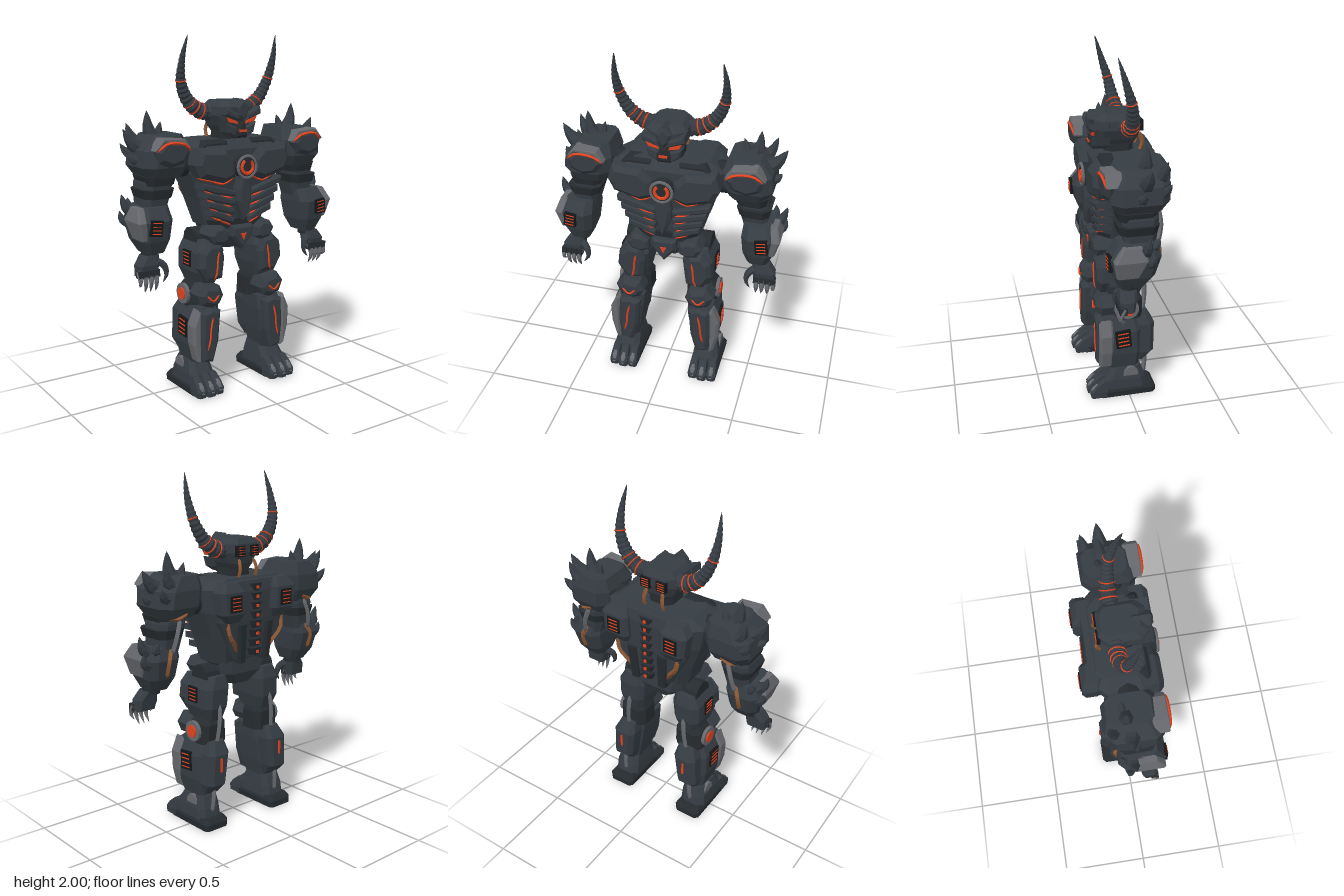
import * as THREE from 'three';

const mat = (name, color) => {
  const m = new THREE.MeshStandardMaterial({ color });
  m.name = name;
  return m;
};
const V = (p) => new THREE.Vector3(...p);

// Stack of chamfered rectangles; row = [y, centre x, centre z, half width, half depth, chamfer]
function loft(rows) {
  const rings = rows.map(([y, x, z, w, d, c = Math.min(w, d) * 0.4]) => [
    [w, c - d], [w, d - c], [w - c, d], [c - w, d], [-w, d - c], [-w, c - d], [c - w, -d], [w - c, -d],
  ].map(([a, b]) => [x + a, y, z + b]));
  const out = [];
  const top = rings.length - 1;
  for (let i = 0; i < top; i++) for (let k = 0; k < 8; k++) {
    const n = (k + 1) % 8, a = rings[i][k], b = rings[i][n], c = rings[i + 1][n], d = rings[i + 1][k];
    out.push(...a, ...c, ...b, ...a, ...d, ...c);
  }
  for (let k = 1; k < 7; k++) {
    out.push(...rings[0][0], ...rings[0][k], ...rings[0][k + 1]);
    out.push(...rings[top][0], ...rings[top][k + 1], ...rings[top][k]);
  }
  const g = new THREE.BufferGeometry();
  g.setAttribute('position', new THREE.Float32BufferAttribute(out, 3));
  return g;
}

// Bevelled plate facing +z, from z0 to z1
function plate(pts, z0, z1, b = 0.015) {
  const shape = new THREE.Shape(pts.map(([x, y]) => new THREE.Vector2(x, y)));
  return new THREE.ExtrudeGeometry(shape, {
    depth: z1 - z0 - 2 * b, bevelThickness: b, bevelSize: b, bevelOffset: -b, bevelSegments: 1,
  }).translate(0, 0, z0 + b);
}

// Tube whose radius follows a rule along its length
function taper(pts, steps, sides, radius) {
  const curve = new THREE.CatmullRomCurve3(pts.map(V));
  const g = new THREE.TubeGeometry(curve, steps, 1, sides);
  const p = g.attributes.position, v = new THREE.Vector3();
  for (let i = 0; i < p.count; i++) {
    const ring = Math.floor(i / (sides + 1)), c = curve.getPointAt(ring / steps);
    v.fromBufferAttribute(p, i).sub(c).multiplyScalar(radius(ring / steps, ring)).add(c);
    p.setXYZ(i, v.x, v.y, v.z);
  }
  return g;
}
const line = (pts, r = 0.006) => taper(pts, 8, 4, (t) => (t === 0 || t === 1 ? 0.001 : r));
const spike = (base, tip, r) => {
  const mid = base.map((b, i) => (b + tip[i]) / 2);
  mid[0] += 0.018; mid[1] -= 0.012;
  return taper([base, mid, tip], 6, 6, (t) => r * Math.pow(1 - t, 0.75) + 0.0005);
};
const disc = (r, h, n = 12) => new THREE.CylinderGeometry(r, r, h, n);
const box = (w, h, d) => new THREE.BoxGeometry(w, h, d);

export function createModel() {
  const armor = mat('charcoal armor', 0x353c42);
  const dark = mat('dark joint', 0x262b2f);
  const black = mat('black vent', 0x15181a);
  const gray = mat('worn steel', 0x66686d);
  const glow = mat('ember glow', 0xe0431f);
  const copper = mat('copper pipe', 0x8a5632);
  const model = new THREE.Group();
  model.name = 'hornedMech';
  let group = model;
  const section = (name) => { group = new THREE.Group(); group.name = name; model.add(group); };

  // Faceted mesh, placed once
  const one = (name, geo, m, pos = [0, 0, 0], rot = [0, 0, 0]) => {
    const g = geo.index ? geo.toNonIndexed() : geo.clone();
    g.deleteAttribute('uv');
    g.applyMatrix4(new THREE.Matrix4().makeRotationFromEuler(new THREE.Euler(...rot)).setPosition(...pos));
    g.computeVertexNormals();
    const mesh = new THREE.Mesh(g, m);
    mesh.name = name;
    group.add(mesh);
    return g;
  };
  // The same mesh on both sides
  const pair = (name, geo, m, pos, rot) => {
    const g = one(name + 'Left', geo, m, pos, rot).clone(), a = g.attributes.position.array;
    for (let i = 0; i < a.length; i += 9) {
      const t = Array.from(a.slice(i, i + 9));
      a.set([-t[0], t[1], t[2], -t[6], t[7], t[8], -t[3], t[4], t[5]], i);
    }
    one(name + 'Right', g, m);
  };
  const vent = (name, pos, rot, w, h) => {
    pair(name + 'Frame', box(w, h, 0.02), black, pos, rot);
    for (let i = 0; i < 4; i++) {
      const off = V([0, (i - 1.5) * h * 0.23, 0.011]).applyEuler(new THREE.Euler(...rot));
      pair(name + 'Slit', box(w * 0.72, h * 0.05, 0.006), glow, pos.map((p, k) => p + off.getComponent(k)), rot);
    }
  };

  section('head');
  one('neck', loft([[1.4, 0, 0, 0.08, 0.08], [1.48, 0, 0, 0.07, 0.08]]), dark);
  one('skull', loft([[1.44, 0, 0.02, 0.05, 0.09], [1.5, 0, 0.01, 0.09, 0.115], [1.56, 0, 0.01, 0.115, 0.13],
    [1.61, 0, 0.01, 0.11, 0.13], [1.64, 0, 0, 0.08, 0.1]]), armor);
  one('crest', plate([[0, 1.655], [0.045, 1.61], [0.03, 1.56], [0, 1.53], [-0.03, 1.56], [-0.045, 1.61]], 0.05, 0.17), armor);
  pair('brow', plate([[0.02, 1.535], [0.03, 1.575], [0.115, 1.61], [0.12, 1.57]], 0.06, 0.17, 0.01), armor);
  pair('eye', plate([[0.025, 1.517], [0.03, 1.532], [0.1, 1.558], [0.085, 1.53]], 0.143, 0.152, 0.001), glow);
  pair('cheek', plate([[0.035, 1.44], [0.03, 1.5], [0.1, 1.525], [0.085, 1.47]], 0.05, 0.15, 0.01), armor);
  one('snout', plate([[-0.035, 1.44], [-0.04, 1.475], [-0.015, 1.53], [0.015, 1.53], [0.04, 1.475], [0.035, 1.44]], 0.05, 0.16), dark);
  one('mouth', box(0.045, 0.014, 0.008), glow, [0, 1.48, 0.161]);
  const hornPath = [[0.08, 1.575, -0.03], [0.16, 1.585, -0.035], [0.235, 1.64, -0.03], [0.288, 1.74, -0.015],
    [0.302, 1.86, 0.02], [0.29, 1.995, 0.06]];
  pair('horn', taper(hornPath, 40, 10, (t, i) => (0.05 * Math.pow(1 - t, 0.75) + 0.0005) * (i % 2 ? 0.9 : 1.06)), armor);
  const hornCurve = new THREE.CatmullRomCurve3(hornPath.map(V));
  for (const t of [0.13, 0.21, 0.29, 0.55]) {
    const dir = hornCurve.getTangentAt(t);
    const e = new THREE.Euler().setFromQuaternion(new THREE.Quaternion().setFromUnitVectors(V([0, 0, 1]), dir));
    pair('hornBand', new THREE.TorusGeometry(0.05 * Math.pow(1 - t, 0.75), 0.0045, 4, 12), glow,
      hornCurve.getPointAt(t).toArray(), [e.x, e.y, e.z]);
  }
  vent('headVent', [0.05, 1.57, -0.12], [0, Math.PI, 0], 0.06, 0.06);
  pair('neckPipe', line([[0.05, 1.53, -0.11], [0.06, 1.47, -0.13], [0.06, 1.41, -0.11]], 0.012), copper);

  section('torso');
  one('trunk', loft([[0.95, 0, 0, 0.19, 0.11], [1.1, 0, -0.01, 0.235, 0.14], [1.25, 0, -0.01, 0.29, 0.16],
    [1.38, 0, -0.01, 0.31, 0.16], [1.43, 0, -0.02, 0.23, 0.13]]), armor);
  pair('pectoral', plate([[0.05, 1.23], [0.06, 1.33], [0.12, 1.39], [0.29, 1.4], [0.315, 1.31], [0.28, 1.24], [0.13, 1.2]], 0.06, 0.195, 0.03), armor);
  pair('pectoralSeam', line([[0.05, 1.235, 0.165], [0.13, 1.195, 0.16], [0.2, 1.215, 0.15], [0.28, 1.235, 0.13]]), glow);
  pair('collar', plate([[0.04, 1.36], [0.08, 1.43], [0.22, 1.43], [0.26, 1.39], [0.12, 1.385]], 0.03, 0.13), dark);
  for (let i = 0; i < 4; i++) {
    const y = 1.175 - i * 0.052, w = 0.265 - i * 0.02;
    pair('rib', plate([[0.05, y - 0.055], [0.05, y - 0.025], [w - 0.08, y + 0.015], [w, y + 0.035], [w, y], [w - 0.07, y - 0.025]], 0.06, 0.172 - i * 0.005, 0.008), armor);
    pair('ribGlow', line([[w - 0.03, y - 0.012, 0.125 - i * 0.004], [w - 0.08, y - 0.038, 0.15 - i * 0.006], [0.06, y - 0.066, 0.15 - i * 0.006]]), glow);
  }
  one('sternum', plate([[0, 0.98], [0.045, 1.09], [0.05, 1.16], [0.03, 1.25], [-0.03, 1.25], [-0.05, 1.16], [-0.045, 1.09]], 0.08, 0.195, 0.02), armor);
  one('belt', loft([[0.935, 0, 0.01, 0.17, 0.12], [0.985, 0, 0.01, 0.19, 0.125]]), dark);
  one('coreHousing', disc(0.065, 0.08, 16), dark, [0, 1.285, 0.165], [Math.PI / 2, 0, 0]);
  one('coreRim', new THREE.TorusGeometry(0.06, 0.009, 6, 20), gray, [0, 1.285, 0.202]);
  one('coreRing', new THREE.TorusGeometry(0.037, 0.01, 6, 20, 5.2), glow, [0, 1.285, 0.206], [0, 0, 2.1]);

  // Back plate, spine and power pods
  one('backPlate', loft([[0.98, 0, -0.12, 0.13, 0.05], [1.2, 0, -0.145, 0.24, 0.05], [1.36, 0, -0.15, 0.27, 0.05], [1.42, 0, -0.14, 0.2, 0.05]]), armor);
  for (let i = 0; i < 8; i++) {
    const y = 1.38 - i * 0.052;
    one('vertebra', loft([[y - 0.021, 0, -0.17, 0.03, 0.03], [y + 0.021, 0, -0.175, 0.045, 0.035]]), dark);
    one('spineLight', box(0.016, 0.016, 0.008), glow, [0, y, -0.211]);
  }
  pair('powerPod', loft([[1.2, 0.17, -0.17, 0.05, 0.04], [1.25, 0.18, -0.19, 0.08, 0.05], [1.37, 0.19, -0.19, 0.085, 0.05], [1.42, 0.18, -0.17, 0.055, 0.04]]), armor);
  vent('podVent', [0.185, 1.31, -0.236], [0, Math.PI, 0], 0.08, 0.09);
  pair('backPipe', line([[0.2, 1.23, -0.18], [0.19, 1.13, -0.195], [0.14, 1.06, -0.18], [0.11, 1.0, -0.15]], 0.014), copper);
  pair('backFin', loft([[0.96, 0.09, -0.14, 0.025, 0.05], [1.18, 0.1, -0.16, 0.03, 0.05]]), dark);

  section('pelvis');
  one('hips', loft([[0.81, 0, 0, 0.075, 0.08], [0.88, 0, 0, 0.15, 0.12], [0.955, 0, 0, 0.17, 0.12]]), armor);
  one('groinPlate', plate([[0, 0.81], [0.07, 0.89], [0.07, 0.95], [-0.07, 0.95], [-0.07, 0.89]], 0.06, 0.17), armor);
  one('groinLight', plate([[0, 0.865], [0.018, 0.905], [-0.018, 0.905]], 0.168, 0.176, 0.001), glow);
  pair('hipGuard', plate([[0.09, 0.87], [0.09, 0.93], [0.13, 0.96], [0.19, 0.955], [0.22, 0.91], [0.19, 0.86], [0.13, 0.85]], 0.02, 0.175, 0.02), armor);
  pair('hipJoint', disc(0.07, 0.16), dark, [0.17, 0.87, 0], [0, 0, Math.PI / 2]);

  section('arms');
  pair('shoulderJoint', disc(0.09, 0.2), dark, [0.34, 1.32, 0], [0, 0, Math.PI / 2]);
  pair('pauldron', loft([[1.25, 0.45, 0, 0.1, 0.12], [1.31, 0.455, 0, 0.135, 0.155], [1.4, 0.445, 0, 0.135, 0.16], [1.475, 0.42, -0.02, 0.085, 0.12]]), armor);
  pair('pauldronFace', plate([[0.34, 1.39], [0.38, 1.45], [0.5, 1.46], [0.55, 1.4], [0.53, 1.34], [0.46, 1.31], [0.38, 1.33]], 0.08, 0.185, 0.025), armor);
  pair('pauldronTrim', plate([[0.335, 1.4], [0.375, 1.46], [0.505, 1.47], [0.555, 1.405], [0.5, 1.445], [0.39, 1.435]], 0.09, 0.178, 0.006), gray);
  pair('pauldronSeam', line([[0.34, 1.395, 0.175], [0.385, 1.432, 0.184], [0.49, 1.44, 0.184], [0.545, 1.4, 0.175]], 0.008), glow);
  pair('pauldronPipe', line([[0.42, 1.28, -0.13], [0.49, 1.25, -0.12], [0.54, 1.27, -0.08]], 0.013), copper);
  for (const [b, t, r] of [
    [[0.43, 1.41, -0.04], [0.49, 1.6, -0.04], 0.055], [[0.39, 1.42, -0.05], [0.395, 1.535, -0.06], 0.04],
    [[0.5, 1.38, -0.02], [0.638, 1.51, -0.03], 0.06], [[0.53, 1.34, 0], [0.62, 1.38, 0], 0.05],
    [[0.47, 1.39, -0.1], [0.57, 1.53, -0.13], 0.05], [[0.51, 1.35, -0.1], [0.6, 1.42, -0.145], 0.045],
  ]) pair('shoulderSpike', spike(b, t, r), armor);
  pair('upperArm', loft([[1.06, 0.5, 0, 0.065, 0.08], [1.14, 0.49, 0, 0.08, 0.09], [1.22, 0.48, 0, 0.085, 0.1], [1.3, 0.46, 0, 0.08, 0.09]]), armor);
  for (const [y, x] of [[1.23, 0.475], [1.16, 0.49]])
    pair('armBand', loft([[y - 0.02, x, 0.01, 0.08, 0.1], [y + 0.03, x, 0.01, 0.095, 0.11]]), dark);
  pair('armPiston', line([[0.46, 1.25, -0.11], [0.49, 1.16, -0.12], [0.51, 1.06, -0.1]], 0.015), gray);
  pair('forearm', loft([[0.85, 0.525, 0.05, 0.055, 0.07], [0.92, 0.53, 0.04, 0.085, 0.11], [1.03, 0.535, 0.035, 0.1, 0.135], [1.1, 0.52, 0.02, 0.08, 0.1]]), armor);
  pair('forearmShield', loft([[0.93, 0.6, 0.08, 0.025, 0.06], [1.03, 0.625, 0.07, 0.028, 0.09], [1.1, 0.61, 0.06, 0.02, 0.05]]), gray);
  vent('forearmVent', [0.555, 1.0, 0.168], [0, 0, 0.12], 0.07, 0.085);
  pair('forearmPipe', line([[0.5, 1.09, -0.08], [0.53, 1.03, -0.105], [0.53, 0.93, -0.075]], 0.014), copper);
  for (const [b, t, r] of [[[0.58, 1.05, -0.01], [0.662, 1.165, -0.02], 0.045],
    [[0.56, 1.07, -0.05], [0.59, 1.13, -0.09], 0.04], [[0.6, 1.0, -0.03], [0.66, 1.07, -0.05], 0.04]])
    pair('elbowSpike', spike(b, t, r), armor);
  pair('wrist', disc(0.05, 0.06, 8), dark, [0.54, 0.85, 0.06]);
  pair('palm', loft([[0.73, 0.575, 0.08, 0.058, 0.035], [0.79, 0.57, 0.08, 0.062, 0.045], [0.84, 0.55, 0.07, 0.045, 0.045]]), armor);
  for (let i = 0; i < 4; i++) {
    const x = 0.53 + i * 0.032, low = i === 3 ? 0.675 : 0.64;
    pair('knuckle', box(0.028, 0.04, 0.04), dark, [x, 0.745, 0.11]);
    pair('finger', taper([[x, 0.76, 0.1], [x + 0.005, 0.7, 0.125], [x, low, 0.1]], 6, 6, (t) => 0.017 * (1 - t * t) + 0.001), gray);
  }
  pair('thumb', taper([[0.53, 0.81, 0.09], [0.485, 0.78, 0.115], [0.475, 0.73, 0.125], [0.5, 0.69, 0.13]], 8, 6, (t) => 0.022 * (1 - t * t) + 0.001), armor);

  section('legs');
  pair('thigh', loft([[0.62, 0.19, 0.01, 0.06, 0.09], [0.7, 0.195, 0.01, 0.085, 0.12], [0.81, 0.19, 0.02, 0.088, 0.135], [0.88, 0.18, 0.01, 0.06, 0.11]]), armor);
  pair('thighPlate', plate([[0.13, 0.66], [0.115, 0.78], [0.14, 0.86], [0.22, 0.87], [0.27, 0.82], [0.28, 0.73], [0.23, 0.65]], 0.06, 0.172, 0.025), armor);
  pair('thighSeam', line([[0.165, 0.82, 0.172], [0.175, 0.76, 0.174], [0.18, 0.7, 0.174], [0.195, 0.66, 0.168]]), glow);
  vent('thighVent', [0.275, 0.77, 0.02], [0, Math.PI / 2, 0], 0.08, 0.09);
  pair('kneeBlock', loft([[0.49, 0.2, -0.01, 0.09, 0.08], [0.6, 0.2, -0.01, 0.085, 0.08], [0.64, 0.195, 0, 0.06, 0.06]]), dark);
  pair('kneeHub', disc(0.06, 0.02, 16), gray, [0.296, 0.56, 0], [0, 0, Math.PI / 2]);
  pair('kneeLight', disc(0.036, 0.008, 16), glow, [0.31, 0.56, 0], [0, 0, Math.PI / 2]);
  pair('kneeCap', plate([[0.125, 0.56], [0.15, 0.62], [0.25, 0.64], [0.295, 0.58], [0.27, 0.52], [0.2, 0.495], [0.15, 0.515]], 0.03, 0.18, 0.03), armor);
  pair('kneeSeam', line([[0.17, 0.575, 0.182], [0.21, 0.545, 0.186], [0.25, 0.58, 0.182]]), glow);
  pair('kneePiston', line([[0.19, 0.72, -0.11], [0.2, 0.6, -0.115], [0.21, 0.48, -0.1]], 0.015), gray);
  pair('shin', loft([[0.16, 0.24, 0.02, 0.055, 0.08], [0.28, 0.24, 0.035, 0.08, 0.115], [0.42, 0.23, 0.04, 0.09, 0.12], [0.5, 0.21, 0.04, 0.075, 0.1]]), armor);
  pair('shinPlate', plate([[0.2, 0.18], [0.165, 0.3], [0.15, 0.48], [0.21, 0.5], [0.275, 0.48], [0.285, 0.32], [0.27, 0.19]], 0.08, 0.18, 0.02), armor);
  pair('shinGuard', plate([[0.28, 0.18], [0.275, 0.48], [0.295, 0.5], [0.335, 0.41], [0.33, 0.3], [0.305, 0.2]], 0.09, 0.172, 0.015), gray);
  pair('shinSeam', line([[0.21, 0.45, 0.18], [0.225, 0.38, 0.182], [0.23, 0.32, 0.182], [0.245, 0.26, 0.18]]), glow);
  vent('shinVent', [0.318, 0.38, 0.035], [0, Math.PI / 2, 0.08], 0.09, 0.11);
  pair('calf', loft([[0.2, 0.235, -0.06, 0.045, 0.04], [0.26, 0.235, -0.085, 0.065, 0.07], [0.44, 0.22, -0.09, 0.072, 0.07], [0.51, 0.21, -0.07, 0.05, 0.05]]), armor);
  pair('calfLight', box(0.012, 0.08, 0.008), glow, [0.225, 0.38, -0.162]);
  pair('heelPiston', line([[0.235, 0.26, -0.1], [0.24, 0.18, -0.11], [0.245, 0.08, -0.1]], 0.015), gray);
  pair('ankle', loft([[0.05, 0.25, 0.02, 0.08, 0.13], [0.11, 0.25, 0.02, 0.078, 0.12], [0.18, 0.245, 0.01, 0.065, 0.085]]), armor);
  pair('ankleHub', disc(0.045, 0.02), gray, [0.313, 0.14, -0.01], [0, 0, Math.PI / 2]);
  pair('sole', loft([[0, 0.25, 0.01, 0.082, 0.17, 0.02], [0.035, 0.25, 0.01, 0.085, 0.17, 0.02], [0.06, 0.25, 0.01, 0.07, 0.15, 0.02]]), dark);
  for (let i = 0; i < 3; i++) {
    const x = 0.193 + i * 0.057, z = i === 1 ? 0.185 : 0.175;
    pair('toe', loft([[0.005, x, z, 0.027, 0.05], [0.04, x, z, 0.028, 0.055], [0.075, x, z - 0.02, 0.024, 0.045], [0.11, x, z - 0.05, 0.02, 0.03]]), armor);
    pair('toeClaw', loft([[0.03, x, z + 0.04, 0.012, 0.018], [0.065, x, z + 0.02, 0.015, 0.02], [0.085, x, z, 0.01, 0.015]]), gray);
  }
  return model;
}
